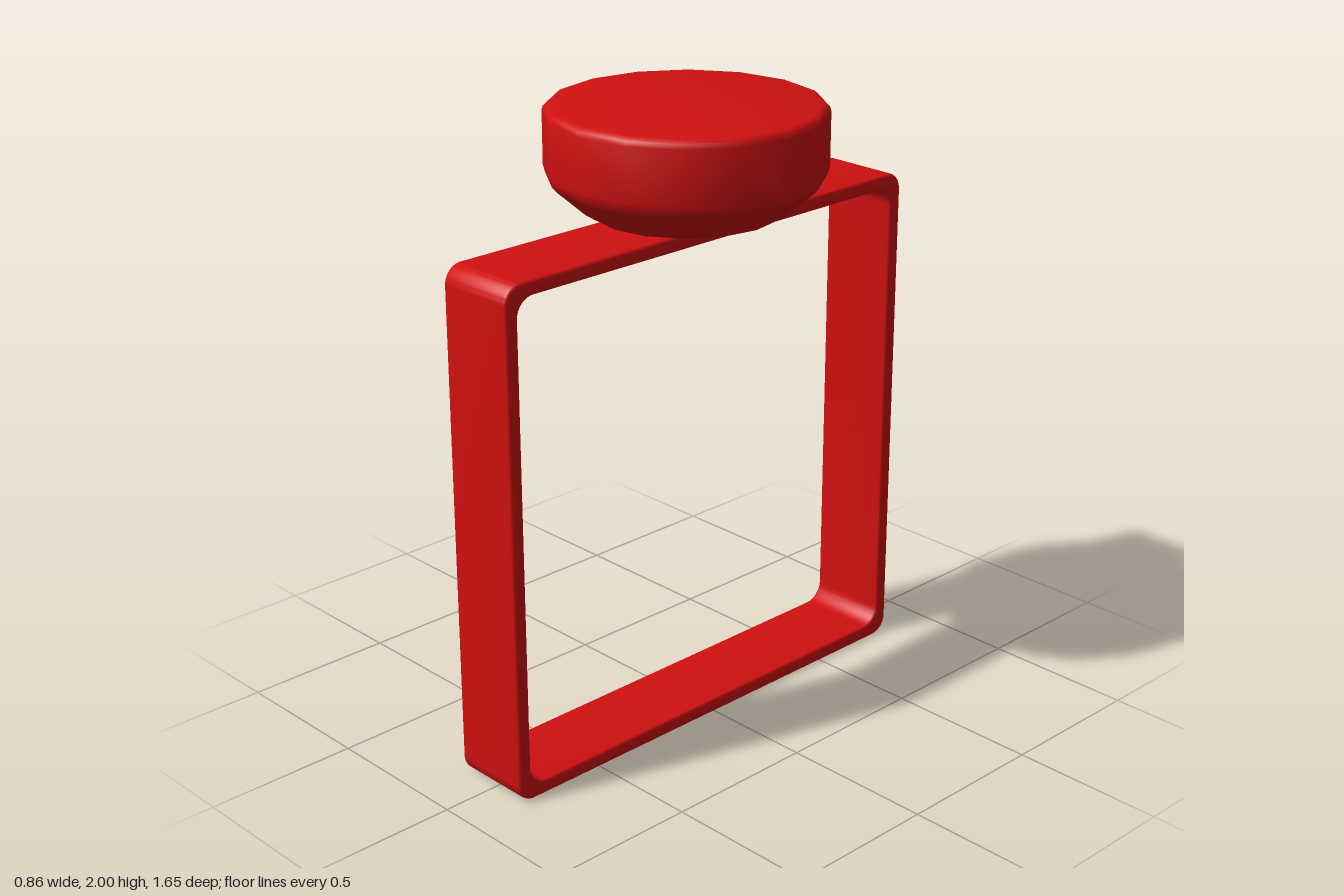
import * as THREE from 'three';
import { toCreasedNormals } from 'three/addons/utils/BufferGeometryUtils.js';

// Traces a rounded rectangle centred on the origin.
function roundedRect(path, halfW, halfH, r) {
  const corners = [[1, -1, -0.5], [1, 1, 0], [-1, 1, 0.5], [-1, -1, 1]];
  path.moveTo(-halfW + r, -halfH);
  for (const [sx, sy, turn] of corners) {
    const start = turn * Math.PI;
    path.absarc(sx * (halfW - r), sy * (halfH - r), r, start, start + Math.PI / 2, false);
  }
  path.closePath();
  return path;
}

export function createModel() {
  const model = new THREE.Group();
  const red = new THREE.MeshStandardMaterial({ color: 0xd01010 });

  const add = (name, geometry) => {
    const mesh = new THREE.Mesh(toCreasedNormals(geometry, 0.65), red);
    mesh.name = name;
    model.add(mesh);
    return mesh;
  };

  // Square band with rounded corners and softened rims
  const height = 1.652, width = 0.27, wall = 0.048, bevel = 0.01;
  const outline = roundedRect(new THREE.Shape(), 0.826, height / 2, 0.06);
  outline.holes.push(roundedRect(new THREE.Path(), 0.826 - wall, height / 2 - wall, 0.06));
  const bandGeometry = new THREE.ExtrudeGeometry(outline, {
    depth: width - 2 * bevel,
    curveSegments: 6,
    bevelThickness: bevel,
    bevelSize: bevel,
    bevelOffset: -bevel,
    bevelSegments: 3,
  });
  bandGeometry.translate(0, 0, -width / 2 + bevel);
  bandGeometry.rotateY(Math.PI / 2);
  add('band', bandGeometry).position.y = height / 2;

  // Sixteen-sided knob with a tapered underside, floating just above the band
  const profile = [
    [0, 1.667], [0.27, 1.667], [0.296, 1.672], [0.32, 1.687],
    [0.41, 1.768], [0.424, 1.785], [0.43, 1.808],
    [0.43, 1.975], [0.426, 1.989], [0.417, 1.997], [0.405, 2], [0, 2],
  ].map(([r, y]) => new THREE.Vector2(r, y));
  add('knob', new THREE.LatheGeometry(profile, 16));

  return model;
}
